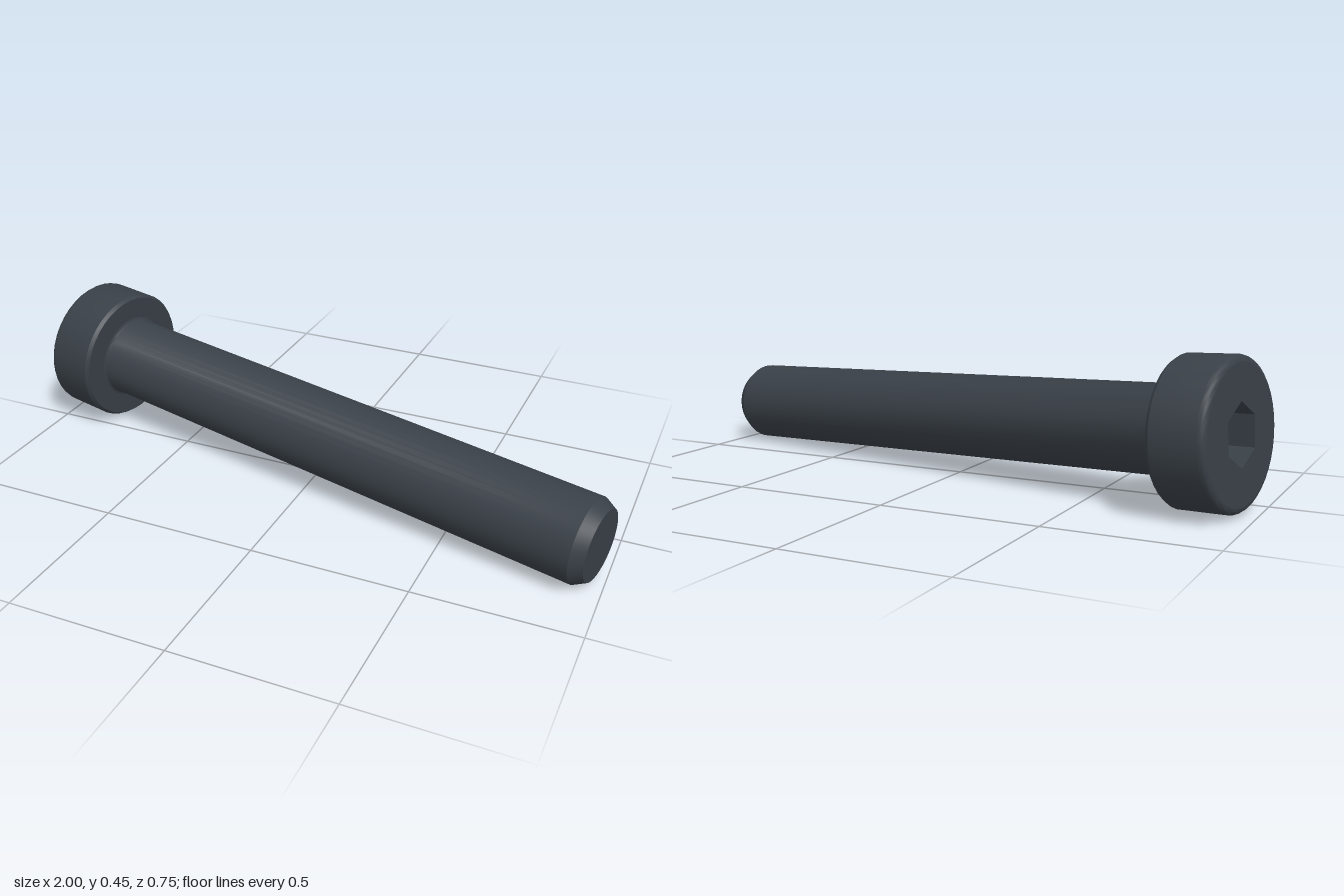
import * as THREE from 'three';
import { toCreasedNormals } from 'three/addons/utils/BufferGeometryUtils.js';

const HEAD_R = 0.223, HEAD_H = 0.178, SHAFT_R = 0.134, LENGTH = 1.974;
const FILLET = 0.02, HEX_R = 0.094, HEX_DEPTH = 0.11, SIDES = 40;

export function createModel() {
  const steel = new THREE.MeshStandardMaterial({ color: 0x394047 });
  steel.name = 'dark steel';

  const screw = new THREE.Group();
  screw.name = 'socketScrew';
  const add = (name, geometry) => {
    const mesh = new THREE.Mesh(toCreasedNormals(geometry, 0.5), steel);
    mesh.name = name;
    screw.add(mesh);
  };
  const lathe = (pts) =>
    new THREE.LatheGeometry(pts.map(([r, y]) => new THREE.Vector2(r, y)), SIDES);

  // Head: rounded outer rim, straight wall, small chamfer, flat underside
  const rim = [];
  for (let i = 0; i <= 4; i++) {
    const a = (i / 4) * Math.PI / 2;
    rim.push([HEAD_R - FILLET + FILLET * Math.sin(a), FILLET - FILLET * Math.cos(a)]);
  }
  add('head', lathe([...rim, [HEAD_R, HEAD_H - 0.012], [HEAD_R - 0.008, HEAD_H], [SHAFT_R + 0.01, HEAD_H]]));

  // Shaft: small neck fillet, long cylinder, chamfered flat tip
  add('shaft', lathe([
    [SHAFT_R + 0.01, HEAD_H], [SHAFT_R + 0.003, HEAD_H + 0.003], [SHAFT_R, HEAD_H + 0.01],
    [SHAFT_R, LENGTH - 0.038], [0.112, LENGTH], [0, LENGTH],
  ]));

  // Head face with a hexagonal opening
  const face = new THREE.Shape().absarc(0, 0, HEAD_R - FILLET, 0, Math.PI * 2);
  const hex = [];
  for (let i = 0; i < 6; i++) {
    const a = Math.PI / 2 + (i * Math.PI) / 3;
    hex.push(new THREE.Vector2(HEX_R * Math.cos(a), HEX_R * Math.sin(a)));
  }
  face.holes.push(new THREE.Path(hex));
  add('headFace', new THREE.ShapeGeometry(face, SIDES).rotateX(Math.PI / 2));

  // Socket: inward-facing walls (mirrored to flip the winding) and floor
  add('socketWalls', new THREE.CylinderGeometry(HEX_R, HEX_R, HEX_DEPTH, 6, 1, true)
    .translate(0, HEX_DEPTH / 2, 0).scale(-1, 1, 1));
  add('socketFloor', new THREE.CircleGeometry(HEX_R, 6, Math.PI / 2)
    .rotateX(Math.PI / 2).translate(0, HEX_DEPTH, 0));

  // Lay the screw down along its slanted axis, one hex corner upwards
  const axis = new THREE.Vector3(0.977, -0.051, 0.207).normalize();
  const up = new THREE.Vector3(0, 1, 0);
  up.addScaledVector(axis, -up.dot(axis)).normalize();
  const side = new THREE.Vector3().crossVectors(axis, up);
  screw.quaternion.setFromRotationMatrix(new THREE.Matrix4().makeBasis(side, axis, up));
  screw.position.set(-0.953, 0.235, -0.159);

  const model = new THREE.Group();
  model.name = 'model';
  model.add(screw);
  return model;
}
